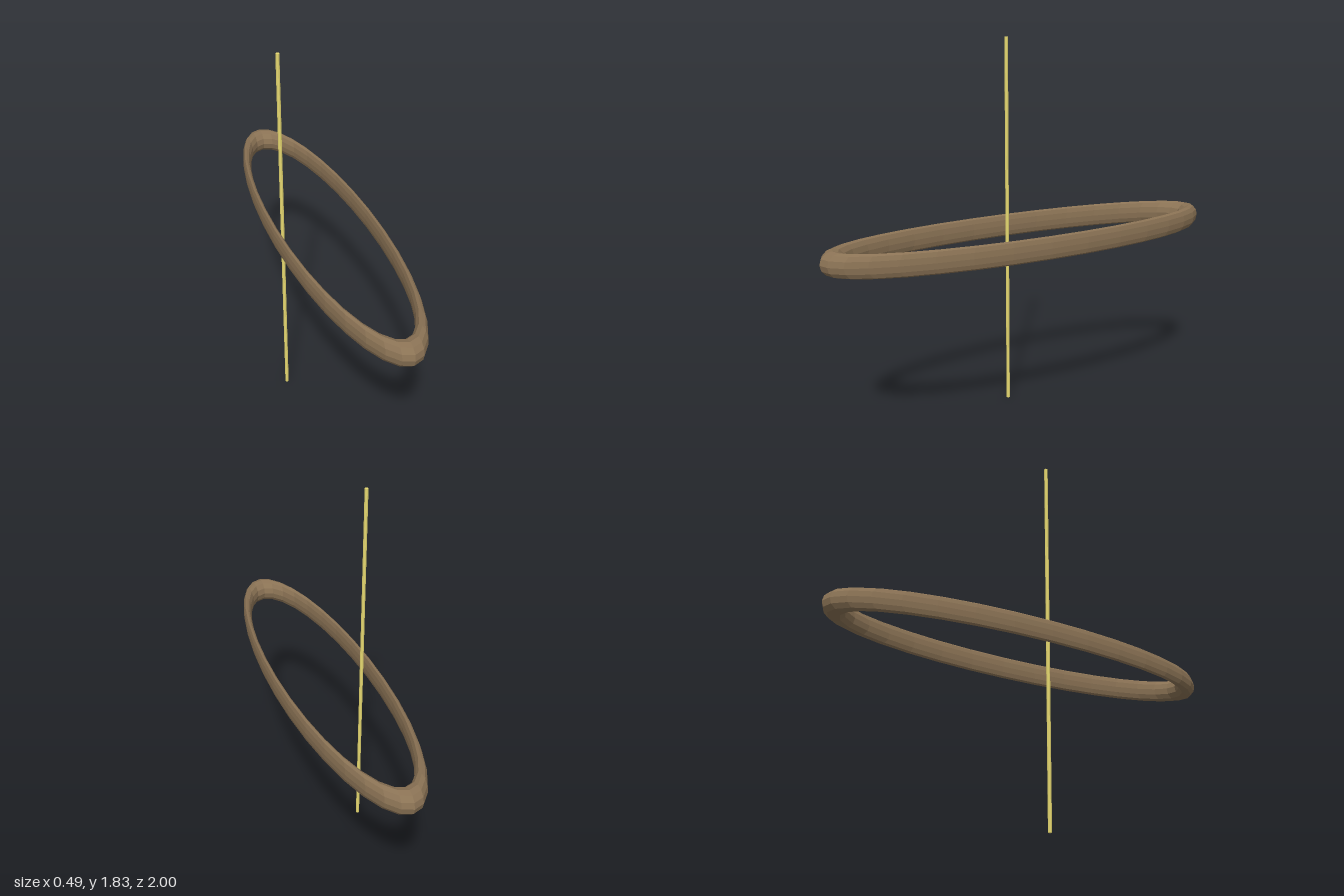
import * as THREE from 'three';

const HEIGHT = 1.83;

export function createModel() {
  const model = new THREE.Group();
  const add = (name, geometry, color, x, y) => {
    const material = new THREE.MeshStandardMaterial({ color, flatShading: true });
    const mesh = new THREE.Mesh(geometry, material);
    mesh.name = name;
    mesh.position.set(x, y, 0);
    model.add(mesh);
  };

  // Flat-lying ring, squeezed across x into a long narrow ellipse
  const ring = new THREE.TorusGeometry(0.944, 0.056, 12, 32);
  ring.rotateX(Math.PI / 2);
  ring.rotateY(Math.PI / 2);
  ring.scale(0.247, 1, 1);
  add('ring', ring, 0x8b7355, 0, HEIGHT / 2);

  // Thin upright string just inside the ring's right side
  add('string', new THREE.CylinderGeometry(0.009, 0.009, HEIGHT, 8), 0xe6d870, -0.2, HEIGHT / 2);

  return model;
}
